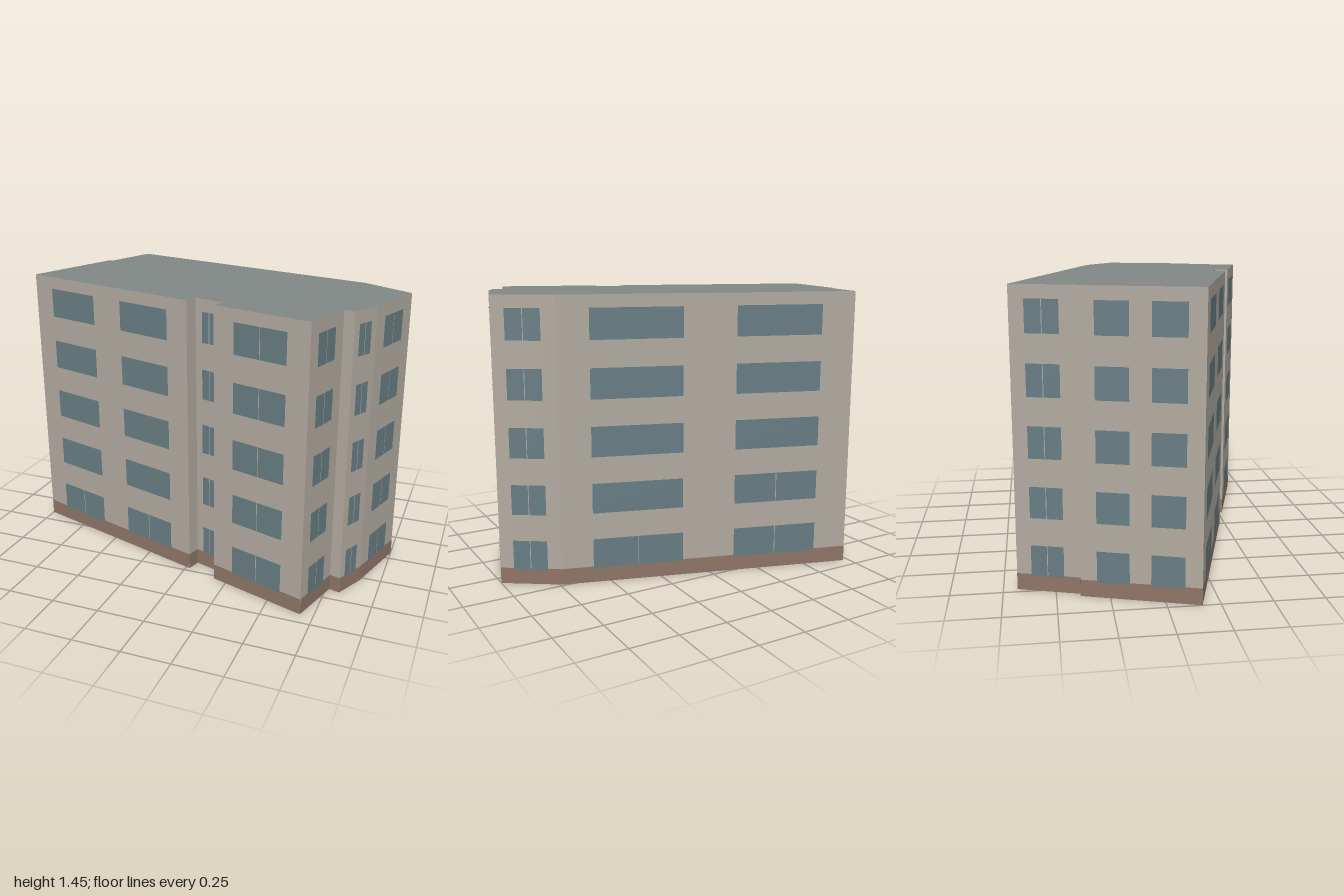
import * as THREE from 'three';

const H = 1.452, BASE = 0.083;        // roof height, plinth height
const FLOORS = 5, PITCH = 0.29, WIN_H = 0.154;
const GAP = 0.004;                    // mullion between two panes

// Window spec: [start, end] as fractions of the wall, and how many storeys have a split pane
// Walls run anticlockwise (seen from above) from each [x, z] corner to the next one
const WALLS = [
  { at: [-1.0, 0.162], windows: [[0.118, 0.412, 1], [0.588, 0.882, 1]] },
  { at: [0.022, 0.475], windows: [] },
  { at: [0.042, 0.407], windows: [[0.24, 0.77, 5]] },
  { at: [0.2, 0.458], windows: [] },
  { at: [0.18, 0.525], windows: [[0.22, 0.774, 5]] },
  { at: [0.684, 0.682], windows: [[0.23, 0.75, 5]] },
  { at: [0.766, 0.412], windows: [] },
  { at: [0.82, 0.427], windows: [[0.22, 0.76, 5]] },
  { at: [0.893, 0.28], windows: [[0.23, 0.754, 5]] },
  { at: [1.0, -0.063], windows: [[0.22, 0.77, 5]] },
  { at: [0.737, -0.236], windows: [[0.105, 0.41, 1], [0.59, 0.885, 2]] },
  { at: [-0.72, -0.682], windows: [[0.23, 0.74, 5]] },
  { at: [-0.81, -0.383], windows: [] },
  { at: [-0.832, -0.388], windows: [[0.14, 0.41, 0], [0.585, 0.86, 0]] },
];

const paint = (color) => new THREE.MeshStandardMaterial({ color, side: THREE.DoubleSide });
const wallMat = paint(0xb1aaa0);
const plinthMat = paint(0x8f7567);
const glassMat = paint(0x677d83);
const roofMat = paint(0x808885);

// Upright rectangle in the wall's own plane
function panel(name, x0, x1, y0, y1, z, material) {
  const mesh = new THREE.Mesh(new THREE.PlaneGeometry(x1 - x0, y1 - y0), material);
  mesh.position.set((x0 + x1) / 2, (y0 + y1) / 2, z);
  mesh.name = name;
  return mesh;
}

function buildWall({ at, windows }, next) {
  const dx = next[0] - at[0], dz = next[1] - at[1];
  const len = Math.hypot(dx, dz);
  const wall = new THREE.Group();
  wall.name = 'wall';
  wall.position.set(at[0], 0, at[1]);
  wall.rotation.y = -Math.atan2(dz, dx);

  // Full-height wall with the painted plinth just proud of it
  wall.add(
    panel('facade', 0, len, 0, H, 0, wallMat),
    panel('plinth', 0, len, 0, BASE, 0.0006, plinthMat),
  );

  // One window per storey, as a single pane or a pair
  for (const [t0, t1, splitStoreys] of windows) {
    const x0 = t0 * len, x1 = t1 * len, mid = (x0 + x1) / 2;
    for (let f = 0; f < FLOORS; f++) {
      const y0 = 0.075 + f * PITCH, y1 = y0 + WIN_H;
      const panes = f < splitStoreys ? [[x0, mid - GAP / 2], [mid + GAP / 2, x1]] : [[x0, x1]];
      for (const [a, b] of panes) wall.add(panel('windowPane', a, b, y0, y1, 0.0012, glassMat));
    }
  }
  return wall;
}

export function createModel() {
  const building = new THREE.Group();
  building.name = 'apartmentBlock';

  WALLS.forEach((w, i) => building.add(buildWall(w, WALLS[(i + 1) % WALLS.length].at)));

  // Flat roof over the whole outline; the underside stays open
  const outline = new THREE.Shape(WALLS.map(({ at }) => new THREE.Vector2(at[0], -at[1])));
  const roof = new THREE.Mesh(new THREE.ShapeGeometry(outline).rotateX(-Math.PI / 2), roofMat);
  roof.position.y = H;
  roof.name = 'roof';
  building.add(roof);

  return building;
}
